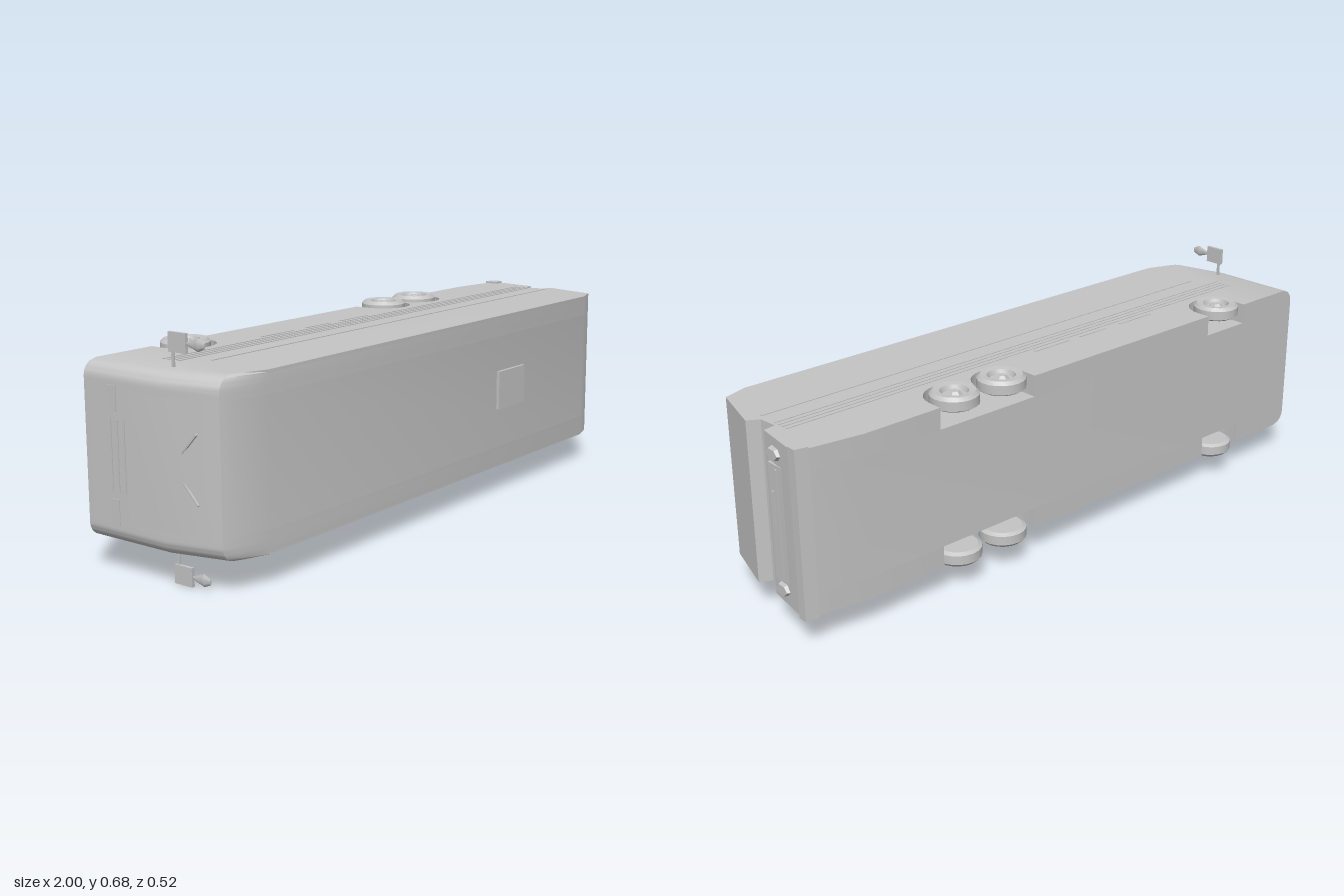
import * as THREE from 'three';
import { toCreasedNormals } from 'three/addons/utils/BufferGeometryUtils.js';

const grey = new THREE.MeshStandardMaterial({ color: 0xc4c4c4 });
grey.name = 'bodyGrey';

// The coach lies on its side: length on x, width on y, roof toward +z.
const LOW = 0.095, HIGH = 0.587, MID = (LOW + HIGH) / 2;
const WHEEL_Z = -0.19, ARCH = 0.088, WELL = 0.065;
const AXLES = [0.455, 0.28, -0.66];

export function createModel() {
  const coach = new THREE.Group();
  coach.name = 'coach';

  const add = (name, geometry, x = 0, y = 0, z = 0) => {
    const mesh = new THREE.Mesh(geometry, grey);
    mesh.name = name;
    mesh.position.set(x, y, z);
    coach.add(mesh);
    return mesh;
  };
  const box = (name, w, h, d, x, y, z) => add(name, new THREE.BoxGeometry(w, h, d), x, y, z);

  // Extrudes an outline in (x, z) from y0 up to y1
  const slab = (points, y0, y1, steps = 1) => {
    const shape = new THREE.Shape(points.map(([x, z]) => new THREE.Vector2(x, z)));
    const g = new THREE.ExtrudeGeometry(shape, { depth: y1 - y0, steps, bevelEnabled: false });
    return g.rotateX(Math.PI / 2).translate(0, y1, 0);
  };

  // Outline of the body seen along its width, starting at the rear underside
  const upper = [
    [-1, -0.235], [-1, 0.05], [-0.96, 0.215], [-0.93, 0.228], [-0.815, 0.252],
    [0.855, 0.252], [0.93, 0.228], [0.98, 0.05], [0.945, 0.03], [0.94, -0.03],
    [0.978, -0.036], [0.995, -0.16], [0.998, -0.207], [0.8, -0.235],
  ];
  const arches = [];
  AXLES.forEach((cx, i) => {
    if (i !== 1) arches.push([cx + ARCH, -0.235]);
    for (let k = 0; k <= 12; k++) {
      const a = (k / 12) * Math.PI;
      const x = cx + ARCH * Math.cos(a);
      // the twin rear wells meet halfway between the axles
      if (i === 0 && x < 0.3675) continue;
      if (i === 1 && x > 0.3675) continue;
      arches.push([x, WHEEL_Z + ARCH * Math.sin(a)]);
    }
    if (i !== 0) arches.push([cx - ARCH, -0.235]);
  });

  // Rounds the nose corners toward the sides
  const roundNose = (g) => {
    const p = g.attributes.position, r = 0.045;
    for (let i = 0; i < p.count; i++) {
      const d = Math.min(p.getY(i) - LOW, HIGH - p.getY(i));
      if (d >= r || p.getX(i) > -0.92) continue;
      const t = r - Math.max(d, 0);
      p.setX(i, p.getX(i) + r - Math.sqrt(Math.max(0, r * r - t * t)));
    }
    return toCreasedNormals(g, 0.6);
  };
  add('bodyCentre', roundNose(slab(upper, LOW + WELL, HIGH - WELL)));
  add('bodySideLow', roundNose(slab([...upper, ...arches], LOW, LOW + WELL, 10)));
  add('bodySideHigh', roundNose(slab([...upper, ...arches], HIGH - WELL, HIGH, 10)));

  // Roof hatch
  box('roofHatch', 0.155, 0.123, 0.012, 0.367, 0.348, 0.256);

  // Rear bumper
  add('rearBumper', slab([[0.96, -0.17], [0.995, -0.17], [1, -0.178], [1, -0.208], [0.96, -0.216]], 0.088, 0.593));

  // Rear panel with slats
  box('rearPanel', 0.012, 0.35, 0.062, 0.985, 0.335, -0.094);
  box('rearSlat', 0.008, 0.33, 0.006, 0.993, 0.335, -0.104);
  box('rearSlat', 0.008, 0.11, 0.006, 0.993, 0.376, -0.083);

  // Tyre with a dished, faceted hub; the axis points outward along +y
  const tyre = new THREE.LatheGeometry([
    [0.001, -0.025], [0.06, -0.025], [0.072, -0.018], [0.072, 0.01], [0.062, 0.02], [0.042, 0.018], [0.036, 0.004], [0.001, 0.004],
  ].map(([r, y]) => new THREE.Vector2(r, y)), 20);
  const tyreGeometry = toCreasedNormals(tyre, 0.5);
  const hubGeometry = toCreasedNormals(new THREE.CylinderGeometry(0.014, 0.026, 0.014, 6), 0.3);

  // Parts repeated on both sides
  for (const s of [1, -1]) {
    const side = s > 0 ? HIGH : LOW;

    for (const x of AXLES) {
      const wheel = new THREE.Group();
      wheel.name = 'wheel';
      const t = new THREE.Mesh(tyreGeometry, grey);
      t.name = 'tyre';
      const h = new THREE.Mesh(hubGeometry, grey);
      h.name = 'hub';
      h.position.y = 0.01;
      wheel.add(t, h);
      wheel.position.set(x, side - s * 0.003, WHEEL_Z);
      if (s < 0) wheel.rotation.x = Math.PI;
      coach.add(wheel);
    }

    // Ribs and trim along the flank
    for (const z of [-0.015, -0.033, -0.051, -0.069]) box('sideRib', 1.8, 0.004, 0.006, 0.03, side, z);
    box('windowTrim', 1.74, 0.004, 0.008, 0.06, side, 0.05);
    for (const [x, w] of [[-0.19, 0.11], [-0.015, 0.14], [-0.38, 0.14]]) {
      box('sideVent', w, 0.004, 0.008, x, side, -0.09);
    }

    // Tail lamps
    const lamp = new THREE.CylinderGeometry(0.7, 1, 0.024, 6);
    lamp.rotateZ(-Math.PI / 2).scale(1, 0.023, 0.038);
    add('tailLamp', toCreasedNormals(lamp, 0.3), 0.987, MID + s * 0.202, -0.096);

    // Mirrors: arm, square housing and a pointed blade
    box('mirrorArm', 0.006, 0.05, 0.008, -0.935, side + s * 0.022, 0.034);
    box('mirrorHousing', 0.01, 0.053, 0.062, -0.937, side + s * 0.0665, 0.054);
    const blade = new THREE.CylinderGeometry(0.018, 0.004, 0.04, 6);
    blade.rotateX(Math.PI / 2).scale(0.4, 1, 1);
    add('mirrorBlade', blade, -0.937, side + s * 0.0665, 0.105);
    const tip = new THREE.CylinderGeometry(0.008, 0.018, 0.023, 6);
    tip.rotateX(Math.PI / 2).scale(0.4, 1, 1);
    add('mirrorTip', tip, -0.937, side + s * 0.0665, 0.1365);

    // Wipers on the sloping windscreen
    const wiper = box('wiper', 0.006, 0.12, 0.006, -0.984, MID + s * 0.05, 0.115);
    wiper.rotation.x = s * 0.75;
    // Headlamps
    box('headlamp', 0.008, 0.07, 0.03, -0.998, MID + s * 0.155, -0.13);
  }

  // Front grille
  for (const z of [-0.09, -0.115, -0.14]) box('grilleBar', 0.006, 0.2, 0.008, -0.999, MID, z);

  return coach;
}
